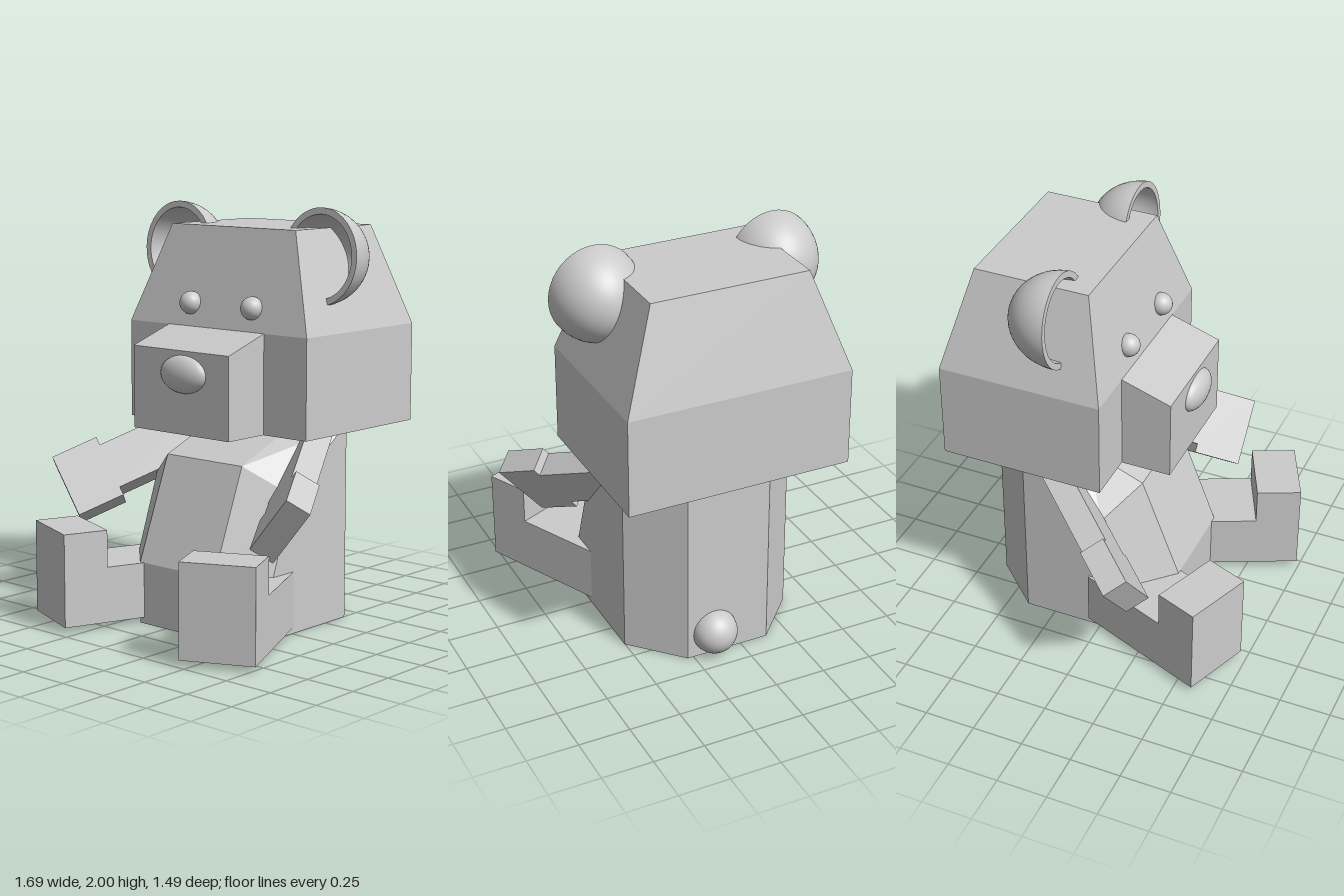
import * as THREE from 'three';
import { toCreasedNormals } from 'three/addons/utils/BufferGeometryUtils.js';

const flat = new THREE.MeshStandardMaterial({ color: 0xcccccc, flatShading: true });
const smooth = new THREE.MeshStandardMaterial({ color: 0xcccccc });
const twoSided = new THREE.MeshStandardMaterial({ color: 0xcccccc, side: THREE.DoubleSide });
const MID = 0.07; // centre line of head and body

function add(parent, name, geometry, material) {
  const mesh = new THREE.Mesh(geometry, material);
  mesh.name = name;
  parent.add(mesh);
  return mesh;
}

// Closed solid from rings of corners, bottom to top. Each ring lists its
// +x half from front to back; the other half is mirrored.
function loft(halfRings) {
  const rings = halfRings.map(half => [
    ...half.map(([x, y, z]) => [MID + x, y, z]),
    ...half.map(([x, y, z]) => [MID - x, y, z]).reverse(),
  ]);
  const pos = [], n = rings[0].length;
  const tri = (a, b, c) => pos.push(...a, ...b, ...c);
  for (let i = 0; i < rings.length - 1; i++) {
    for (let j = 0; j < n; j++) {
      const k = (j + 1) % n, lo = rings[i], hi = rings[i + 1];
      tri(lo[j], lo[k], hi[k]);
      tri(lo[j], hi[k], hi[j]);
    }
  }
  const bottom = rings[0], top = rings[rings.length - 1];
  for (let j = 1; j < n - 1; j++) {
    tri(bottom[0], bottom[j + 1], bottom[j]);
    tri(top[0], top[j], top[j + 1]);
  }
  const g = new THREE.BufferGeometry();
  g.setAttribute('position', new THREE.Float32BufferAttribute(pos, 3));
  g.computeVertexNormals();
  return g;
}

function extrude(points, depth) {
  const shape = new THREE.Shape(points.map(p => new THREE.Vector2(...p)));
  return new THREE.ExtrudeGeometry(shape, { depth, bevelEnabled: false });
}

function ball(parent, name, center, radii) {
  const mesh = add(parent, name, new THREE.SphereGeometry(1, 32, 20), smooth);
  mesh.position.set(...center);
  mesh.scale.set(...radii);
}

// Hollow half-sphere, open to the front
function ear(parent, name, x) {
  const pts = [], steps = 16;
  for (let i = 0; i <= steps; i++) {
    const a = (i / steps) * Math.PI / 2;
    pts.push(new THREE.Vector2(0.197 * Math.sin(a), -0.225 * Math.cos(a)));
  }
  for (let i = steps; i >= 0; i--) {
    const a = (i / steps) * Math.PI / 2;
    pts.push(new THREE.Vector2(0.228 * Math.sin(a), -0.255 * Math.cos(a)));
  }
  const g = new THREE.LatheGeometry(pts, 40);
  g.rotateX(Math.PI / 2);
  const mesh = add(parent, name, toCreasedNormals(g, 0.6), twoSided);
  mesh.scale.x = 0.95;
  mesh.rotation.x = -0.06;
  mesh.position.set(x, 1.77, -0.16);
}

// Flat arm with a wider hand: u points to the fingertips, v across the hand
function arm(parent, name, corner, uDir, vDir) {
  const u = new THREE.Vector3(...uDir).normalize();
  const w = u.clone().cross(new THREE.Vector3(...vDir)).normalize();
  const v = w.clone().cross(u);
  const g = extrude([[0, 0], [0, 0.335], [-0.24, 0.335], [-0.24, 0.29],
    [-0.8, 0.29], [-0.8, 0.045], [-0.24, 0.045], [-0.24, 0]], 0.125);
  g.applyMatrix4(new THREE.Matrix4().makeBasis(u, v, w).setPosition(...corner));
  add(parent, name, g, flat);
}

// L-shaped leg and foot, turned outwards about its front end
function leg(parent, name, x, z, angle) {
  const g = extrude([[0, 0.03], [0, 0.48], [-0.22, 0.48], [-0.22, 0.3],
    [-0.7, 0.3], [-0.7, 0.03]], 0.355);
  g.translate(0, 0, -0.1775);
  g.rotateY(-Math.PI / 2);
  const mesh = add(parent, name, g, flat);
  mesh.rotation.y = angle;
  mesh.position.set(x, 0, z);
}

export function createModel() {
  const bear = new THREE.Group();
  bear.name = 'bear';

  // Eight-sided body, leaning back above the belly, with sloped shoulders
  const back = y => [[0.432, y, -0.4], [0.21, y, -0.635]];
  add(bear, 'body', loft([
    [[0.237, 0, 0.335], [0.432, 0, 0.14], ...back(0)],
    [[0.237, 0.3, 0.335], [0.432, 0.3, 0.14], ...back(0.3)],
    [[0.237, 0.8, 0.14], [0.432, 0.67, 0.01], ...back(0.8)],
    [[0.237, 0.915, -0.15], [0.432, 0.945, -0.38], ...back(0.946)],
  ]), flat);
  ball(bear, 'tail', [0.14, 0.12, -0.635], [0.11, 0.11, 0.11]);

  // Head and muzzle
  const head = new THREE.Group();
  head.name = 'head';
  bear.add(head);
  add(head, 'skull', loft([
    [[0.555, 0.945, 0.06], [0.555, 0.945, -0.75]],
    [[0.555, 1.42, 0.06], [0.555, 1.42, -0.75]],
    [[0.387, 1.895, -0.06], [0.387, 1.895, -0.63]],
  ]), flat);
  add(head, 'muzzle', loft([
    [[0.3, 0.945, 0.305], [0.3, 0.945, 0]],
    [[0.3, 1.34, 0.305], [0.3, 1.44, 0]],
  ]), flat);
  ball(head, 'nose', [0.09, 1.23, 0.3], [0.14, 0.09, 0.06]);
  ball(head, 'rightEye', [-0.105, 1.53, 0.04], [0.055, 0.055, 0.055]);
  ball(head, 'leftEye', [0.28, 1.53, 0.04], [0.055, 0.055, 0.055]);
  ear(head, 'rightEar', -0.372);
  ear(head, 'leftEar', 0.518);

  // Limbs, each posed a little differently
  arm(bear, 'leftArm', [0.765, 0.74, 0.367], [0.44, -0.37, 0.82], [-0.64, -0.77, 0]);
  arm(bear, 'rightArm', [-0.85, 0.67, 0.24], [-0.56, -0.39, 0.73], [0.59, -0.79, 0.11]);
  leg(bear, 'leftLeg', 0.62, 0.665, 0.436);
  leg(bear, 'rightLeg', -0.455, 0.655, -0.367);

  return bear;
}
